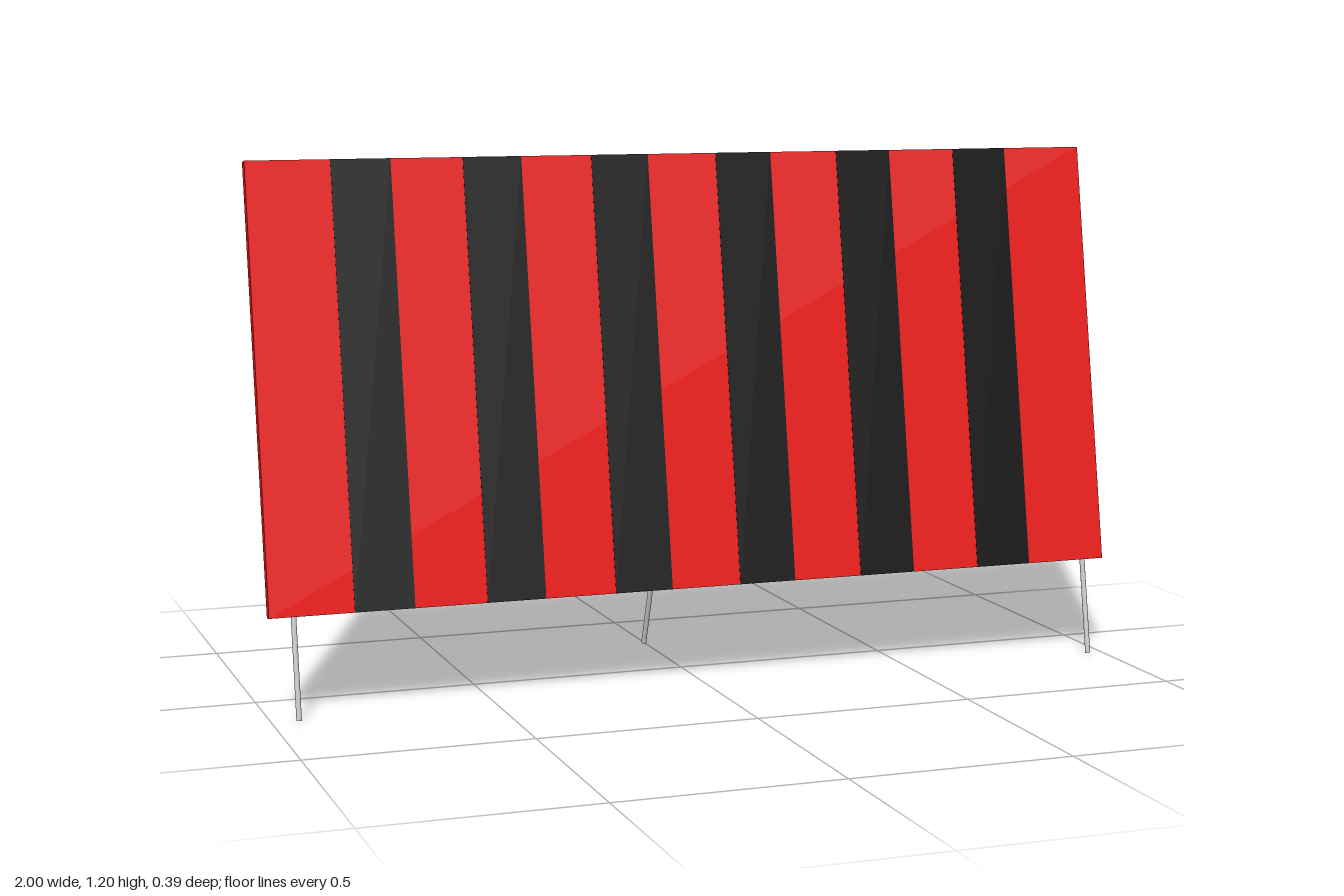
import * as THREE from 'three';

const material = (color) => new THREE.MeshStandardMaterial({ color });

// Round rod between two points
function rod(name, from, to, mat, radius = 0.006) {
  const a = new THREE.Vector3(...from);
  const b = new THREE.Vector3(...to);
  const dir = b.clone().sub(a);
  const mesh = new THREE.Mesh(new THREE.CylinderGeometry(radius, radius, dir.length(), 16), mat);
  mesh.position.copy(a).add(b).multiplyScalar(0.5);
  mesh.quaternion.setFromUnitVectors(new THREE.Vector3(0, 1, 0), dir.normalize());
  mesh.name = name;
  return mesh;
}

export function createModel() {
  const model = new THREE.Group();
  model.name = 'stripedBarrierBoard';
  const red = material(0xee1010);
  const black = material(0x0d0d0d);
  const grey = material(0xcccccc);

  // Everything that leans back with the board
  const board = new THREE.Group();
  board.name = 'leaningBoard';
  board.position.set(0, 0.709, 0.0875);
  board.rotation.x = THREE.MathUtils.degToRad(-10);
  model.add(board);

  // Red panel
  const width = 2, height = 0.984, depth = 0.025;
  const panel = new THREE.Mesh(new THREE.BoxGeometry(width, height, depth), red);
  panel.name = 'panel';
  board.add(panel);

  // Six black stripes on the front face
  for (let i = 0; i < 6; i++) {
    const stripe = new THREE.Mesh(new THREE.BoxGeometry(0.134, height, 0.002), black);
    stripe.name = 'stripe';
    stripe.position.set(-0.746 + i * 0.297, 0, depth / 2);
    board.add(stripe);
  }

  // Frame behind the panel: two legs and two cross bars
  const back = -0.0195, right = -0.941, left = 0.963;
  board.add(rod('rightLeg', [right, -0.717, back], [right, 0.492, back], grey));
  board.add(rod('leftLeg', [left, -0.717, back], [left, 0.492, back], grey));
  board.add(rod('topBar', [right, 0.482, back], [left, 0.482, back], grey));
  board.add(rod('middleBar', [right, 0.018, back], [left, 0.018, back], grey));

  // Rear strut
  model.add(rod('rearStrut', [-0.028, 0.718, 0.066], [-0.028, 0.018, -0.188], grey));

  return model;
}
